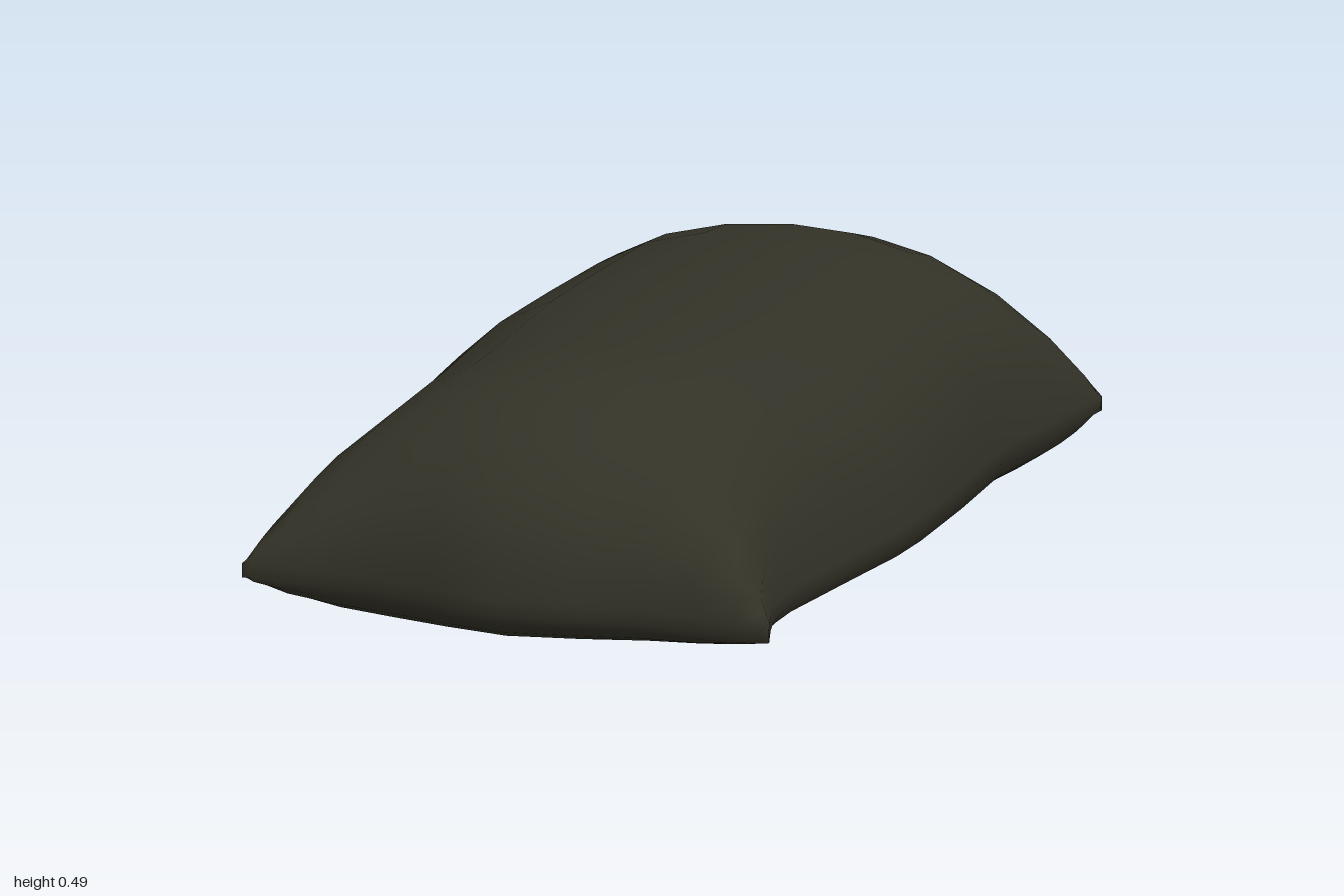
import * as THREE from 'three';
import { mergeVertices } from 'three/addons/utils/BufferGeometryUtils.js';

// Seam outline seen from above, as [x, z] points
const leftEdge = [[-0.67, -0.84], [-0.62, -0.67], [-0.57, -0.46], [-0.53, -0.15], [-0.49, 0.09],
  [-0.37, 0.47], [-0.335, 0.62], [-0.345, 0.8], [-0.34, 0.99]];
const rightEdge = [[0.29, -1], [0.31, -0.8], [0.325, -0.61], [0.4, -0.35], [0.485, -0.02],
  [0.515, 0.25], [0.55, 0.54], [0.6, 0.69], [0.67, 0.815]];
const backEdge = [[-0.67, -0.84], [-0.45, -0.845], [-0.19, -0.94], [0.09, -0.965], [0.29, -1]];
const frontEdge = [[-0.34, 0.99], [-0.12, 0.94], [0.17, 0.945], [0.42, 0.84], [0.67, 0.815]];

const lerp = THREE.MathUtils.lerp;

// Point on an edge at fraction t of its extent along one axis (0 = x, 1 = z)
function along(edge, axis, t) {
  const value = lerp(edge[0][axis], edge[edge.length - 1][axis], t);
  let i = 0;
  while (i < edge.length - 2 && value > edge[i + 1][axis]) i++;
  const [a, b] = [edge[i], edge[i + 1]];
  const k = (value - a[axis]) / (b[axis] - a[axis]);
  return [lerp(a[0], b[0], k), lerp(a[1], b[1], k)];
}

// Blend the four edges into a point inside the outline
function planPoint(u, v) {
  const l = along(leftEdge, 1, v), r = along(rightEdge, 1, v);
  const b = along(backEdge, 0, u), f = along(frontEdge, 0, u);
  return [0, 1].map((c) => lerp(l[c], r[c], u) + lerp(b[c], f[c], v) -
    lerp(lerp(backEdge[0][c], backEdge[4][c], u), lerp(frontEdge[0][c], frontEdge[4][c], u), v));
}

// Rounded fullness: 1 in the middle, 0 at the seam
const dome = (s, p, q) => Math.pow(Math.max(0, 1 - Math.pow(Math.min(1, Math.abs(s)), p)), q);

function createBagGeometry() {
  const geometry = new THREE.BoxGeometry(2, 2, 2, 12, 1, 22);
  geometry.deleteAttribute('normal');
  geometry.deleteAttribute('uv');
  const position = geometry.attributes.position;
  for (let i = 0; i < position.count; i++) {
    // Rows crowd towards the seam
    const a = Math.sin(position.getX(i) * Math.PI / 2);
    const b = Math.sin(position.getZ(i) * Math.PI / 2);
    const isTop = position.getY(i) > 0;
    const u = (a + 1) / 2, v = (b + 1) / 2;
    const [x, z] = planPoint(u, v);
    const seam = lerp(lerp(0.155, 0.12, u), lerp(0.14, 0.105, u), v);
    const fromEnd = (1 - Math.abs(b)) * 0.95;
    let y;
    if (isTop) {
      const reach = b > 0 ? 0.5 : 0.42;
      const end = dome(Math.max(0, 1 - fromEnd / reach), 2, 0.5);
      y = lerp(seam + 0.013, 0.49, dome(a, 2.4, 0.48) * end);
    } else {
      const end = dome(Math.max(0, 1 - fromEnd / 0.3), 2, 0.5);
      y = lerp(seam - 0.013, 0.011 + 0.015 * b, dome(a, 3.5, 0.5) * end);
    }
    position.setXYZ(i, x, Math.max(0, y), z);
  }
  const merged = mergeVertices(geometry, 1e-4);
  merged.clearGroups();
  merged.computeVertexNormals();
  return merged;
}

export function createModel() {
  const group = new THREE.Group();
  group.name = 'sandbag';
  const cloth = new THREE.MeshStandardMaterial({ color: 0x333227 });
  cloth.name = 'dark olive cloth';
  const bag = new THREE.Mesh(createBagGeometry(), cloth);
  bag.name = 'filledBag';
  group.add(bag);
  return group;
}
